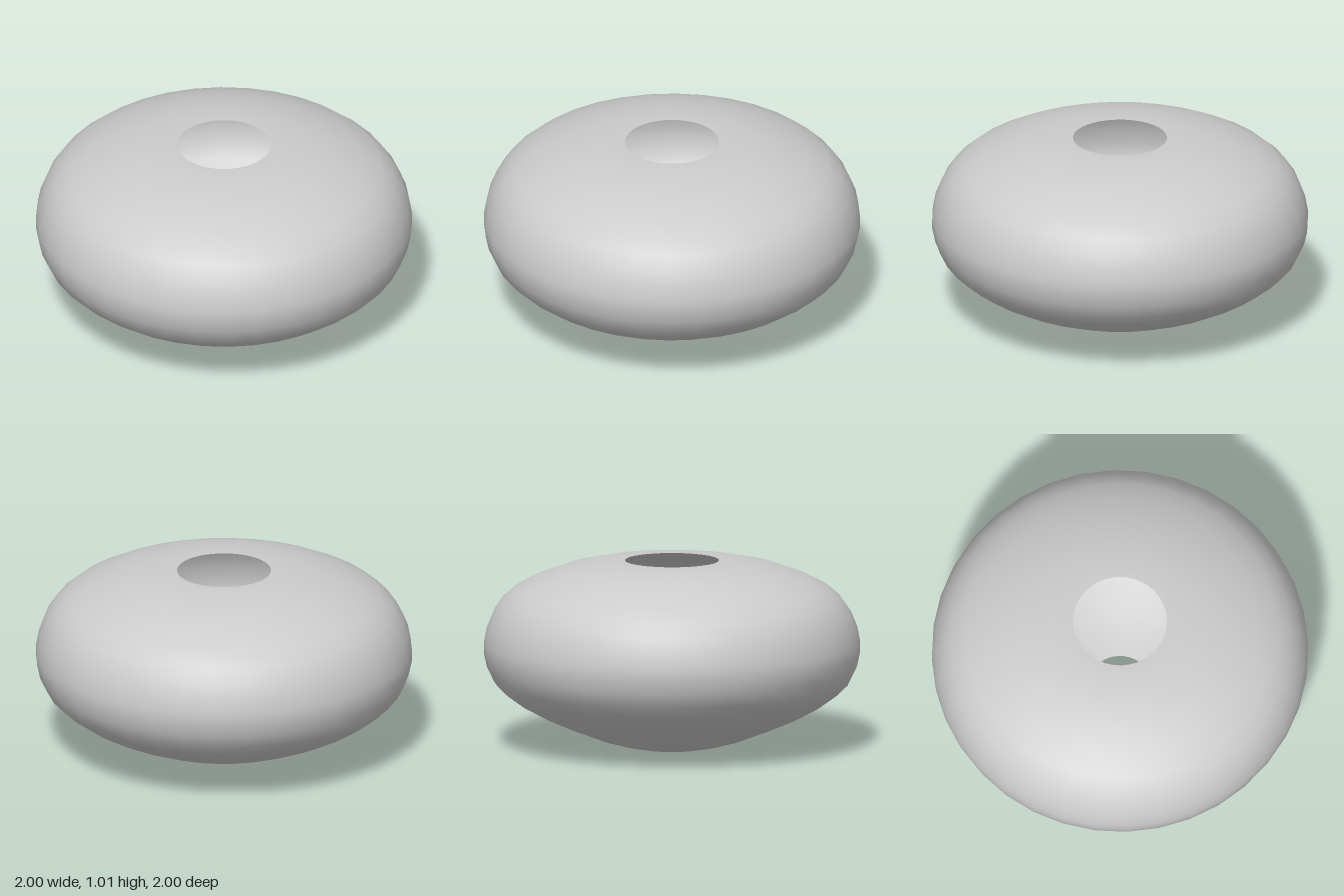
import * as THREE from 'three';

export function createModel() {
  const group = new THREE.Group();
  group.name = 'roundShade';

  // Half profile of the thin shell, from the lower opening to the upper one
  const profile = [
    [0.17, 0], [0.28, 0.022], [0.39, 0.053], [0.555, 0.118], [0.69, 0.177],
    [0.8, 0.236], [0.885, 0.298], [0.945, 0.357], [0.983, 0.435], [1, 0.51],
    [1, 0.57], [0.985, 0.65], [0.953, 0.73], [0.905, 0.8], [0.835, 0.86],
    [0.73, 0.913], [0.59, 0.965], [0.445, 0.997], [0.31, 1.01], [0.25, 1.01],
  ];

  // 36 sides, turned half a side so that flats lie on the x and z axes
  const sides = 36;
  const halfSide = Math.PI / sides;
  const points = profile.map(([r, y]) => new THREE.Vector2(r / Math.cos(halfSide), y));
  const shell = new THREE.Mesh(
    new THREE.LatheGeometry(points, sides, halfSide),
    new THREE.MeshStandardMaterial({ color: 0xcccccc, side: THREE.DoubleSide })
  );
  shell.name = 'hollowShell';
  group.add(shell);

  return group;
}
